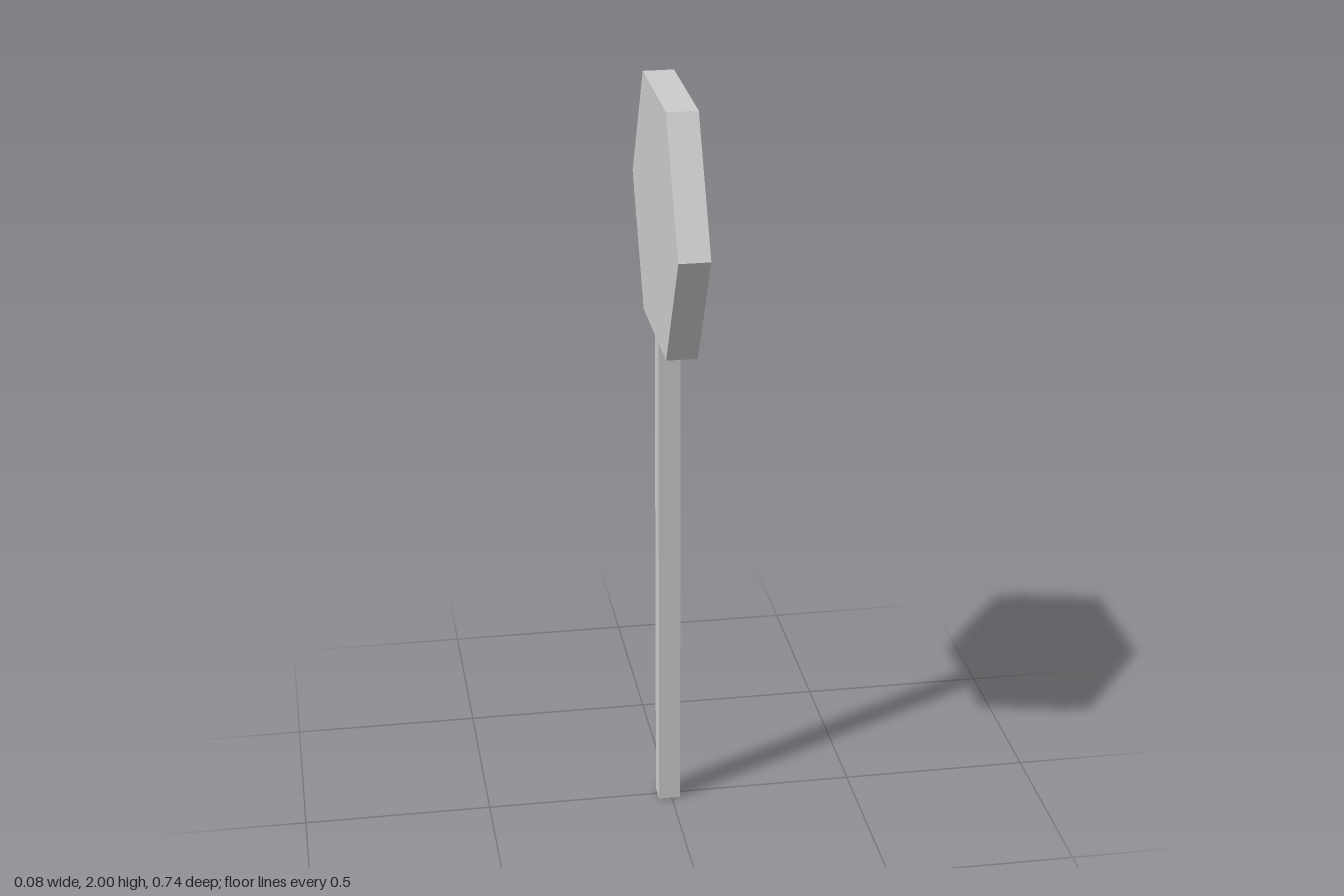
import * as THREE from 'three';

export function createModel() {
  const model = new THREE.Group();
  const material = new THREE.MeshStandardMaterial({ color: 0xcccccc, flatShading: true });

  const add = (name, geometry, x, y, z) => {
    const mesh = new THREE.Mesh(geometry, material);
    mesh.name = name;
    mesh.position.set(x, y, z);
    model.add(mesh);
  };

  const radius = 0.37;
  const apothem = radius * Math.cos(Math.PI / 6);
  const postHeight = 2 - 2 * apothem;

  // Square post, set slightly off the middle of the panel's thickness
  add('post', new THREE.BoxGeometry(0.058, postHeight, 0.058), -0.006, postHeight / 2, 0);

  // Hexagonal panel facing sideways, with points to front and back
  const panel = new THREE.CylinderGeometry(radius, radius, 0.08, 6).rotateZ(Math.PI / 2);
  add('signPanel', panel, 0, 2 - apothem, 0);

  return model;
}
